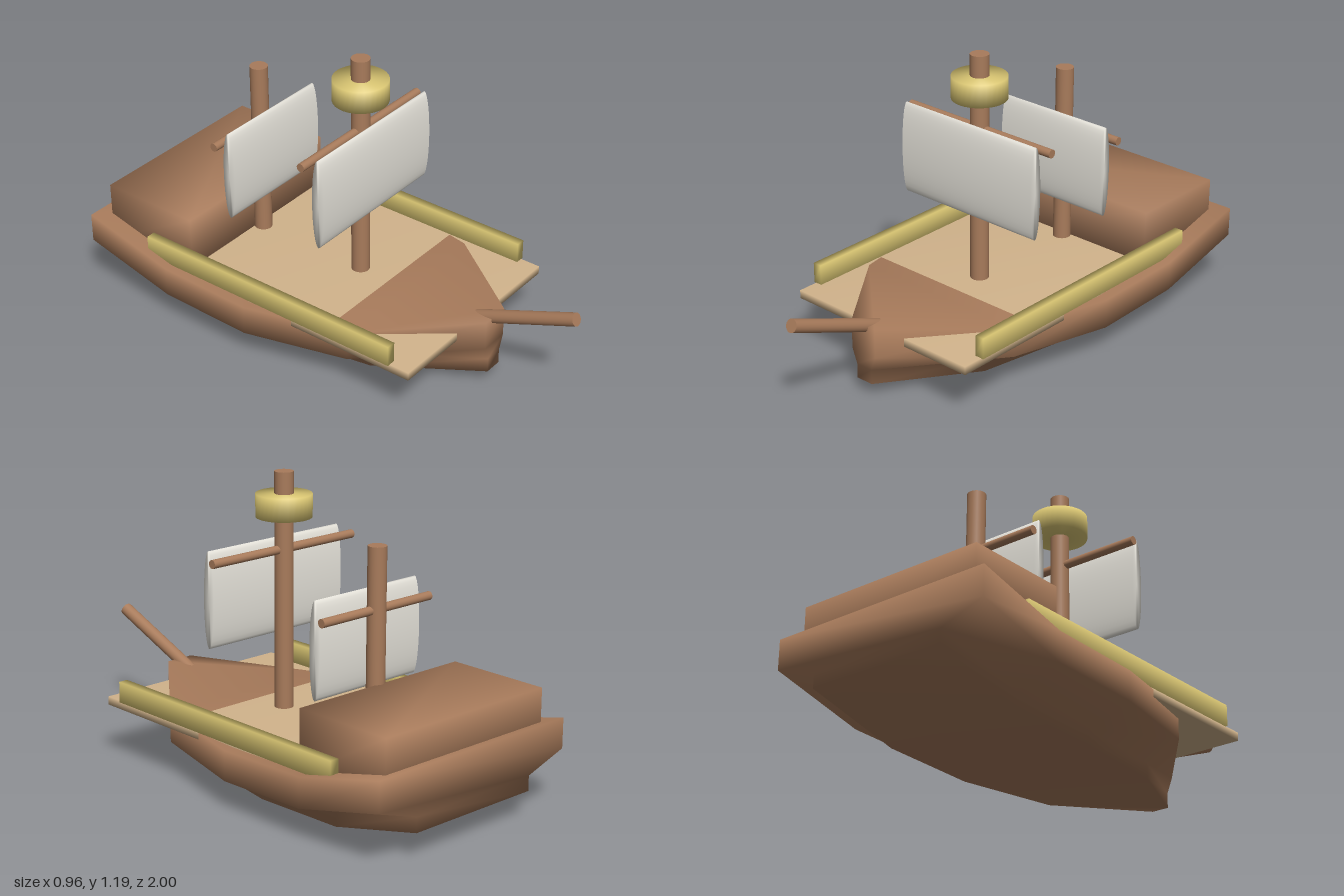
import * as THREE from 'three';
import { mergeVertices } from 'three/addons/utils/BufferGeometryUtils.js';

const mat = (name, color) => {
  const m = new THREE.MeshStandardMaterial({ color });
  m.name = name;
  return m;
};

// Share vertices across edges so the shading is soft
function soften(geo) {
  geo.deleteAttribute('normal');
  geo.deleteAttribute('uv');
  const g = mergeVertices(geo, 1e-4);
  g.computeVertexNormals();
  return g;
}

// Stepped cross-section lofted through stations [z, width scale, lift]
function hullGeometry() {
  const half = [[0.48, 0.24], [0.48, 0.12], [0.295, 0.06], [0.295, 0]];
  const ring = [...half, ...half.map(([x, y]) => [-x, y]).reverse()];
  const stations = [[-1, 1, 0.108], [-0.6, 1, 0.01], [-0.2, 1, 0], [0.23, 0.8, 0.015], [0.64, 0.125, 0.058]];
  const n = ring.length, pos = [], idx = [];
  for (const [z, w, lift] of stations) for (const [x, y] of ring) pos.push(x * w, y + lift, z);
  for (let s = 0; s < stations.length - 1; s++) {
    for (let i = 0; i < n; i++) {
      const a = s * n + i, b = s * n + (i + 1) % n, c = b + n, d = a + n;
      idx.push(a, c, b, a, d, c);
    }
  }
  // Stern and bow caps
  const f = (stations.length - 1) * n;
  for (let i = 0; i < 3; i++) {
    idx.push(f + i, f + 7 - i, f + 6 - i, f + i, f + 6 - i, f + i + 1);
    idx.push(i, 6 - i, 7 - i, i, i + 1, 6 - i);
  }
  const g = new THREE.BufferGeometry();
  g.setAttribute('position', new THREE.Float32BufferAttribute(pos, 3));
  g.setIndex(idx);
  g.computeVertexNormals();
  return g;
}

export function createModel() {
  const wood = mat('brown wood', 0xa87b5b);
  const plank = mat('tan planks', 0xd2b48c);
  const gold = mat('yellow trim', 0xdcc874);
  const cloth = mat('sail cloth', 0xeeebe2);

  const ship = new THREE.Group();
  ship.name = 'sailingShip';
  const add = (name, geo, material, x = 0, y = 0, z = 0) => {
    const m = new THREE.Mesh(geo, material);
    m.name = name;
    m.position.set(x, y, z);
    ship.add(m);
    return m;
  };
  const box = (w, h, d) => soften(new THREE.BoxGeometry(w, h, d));
  const rod = (r, len) => new THREE.CylinderGeometry(r, r, len, 24);

  // Body
  add('hull', hullGeometry(), wood);
  add('deck', box(0.87, 0.034, 1.11), plank, 0, 0.235, 0);
  add('cabin', box(0.81, 0.25, 0.43), wood, 0, 0.345, -0.74);
  for (const [side, s] of [['left', 1], ['right', -1]]) {
    add(side + 'Rail', box(0.038, 0.085, 1.195), gold, s * 0.426, 0.293, -0.128);
  }

  // Masts, each with a yard and a billowed sail
  function rig(name, z, r, top, yardY, yardHalf, sailY, sailHalf) {
    add(name + 'Mast', rod(r, top - 0.22), wood, 0, (top + 0.22) / 2, z);
    add(name + 'Yard', rod(0.017, yardHalf * 2), wood, 0, yardY, z).rotation.z = Math.PI / 2;
    const sail = new THREE.CylinderGeometry(1, 1, sailHalf * 2, 32);
    sail.rotateZ(Math.PI / 2);
    sail.scale(1, 0.19, 0.028);
    add(name + 'Sail', soften(sail), cloth, 0, sailY, z + 0.056);
  }
  rig('main', 0, 0.037, 1.187, 0.885, 0.36, 0.73, 0.33);
  rig('rear', -0.5, 0.036, 0.99, 0.75, 0.278, 0.63, 0.257);

  // Crow's nest around the main mast
  add('lookout', soften(new THREE.CylinderGeometry(0.109, 0.109, 0.09, 32)), gold, 0, 1.056, 0);

  // Bowsprit rising from the bow
  const from = new THREE.Vector3(0, 0.24, 0.5), to = new THREE.Vector3(0, 0.437, 0.99);
  const sprit = add('bowsprit', rod(0.026, from.distanceTo(to)), wood);
  sprit.position.copy(from).lerp(to, 0.5);
  sprit.quaternion.setFromUnitVectors(new THREE.Vector3(0, 1, 0), to.clone().sub(from).normalize());

  return ship;
}
